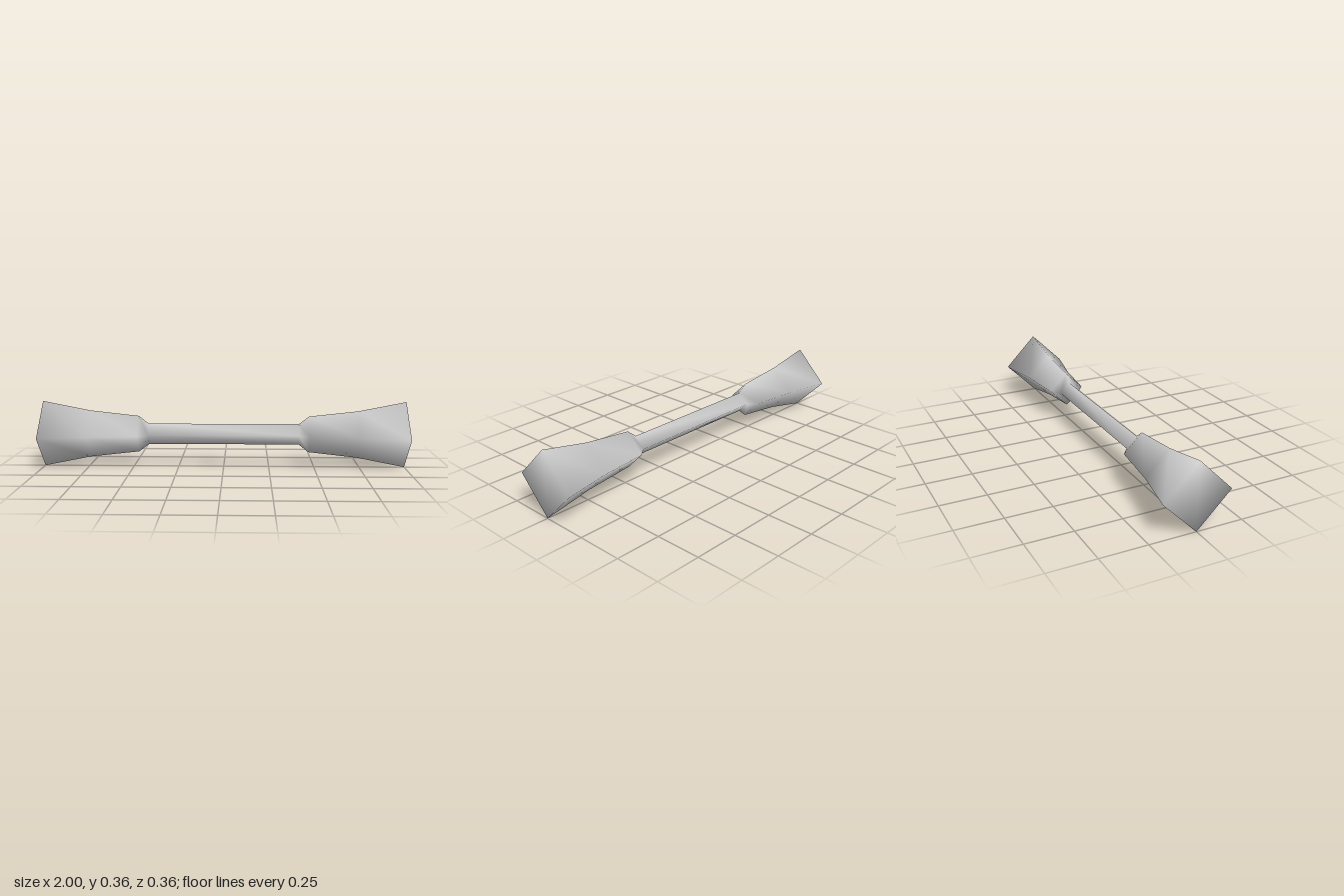
import * as THREE from 'three';

// Half profile: [distance from the middle, section radius]
const HALF = [[1, 0.182], [0.74, 0.13], [0.47, 0.1], [0.415, 0.057]];
const SIDES = 4;
const CENTRE_Y = 0.182;

// Square-section bar lofted along x, standing on its edge, with shared vertices for smooth normals
function loftBar(rings) {
  const positions = [];
  const index = [];
  for (const [x, r] of rings) {
    for (let j = 0; j < SIDES; j++) {
      const a = (j / SIDES) * Math.PI * 2;
      positions.push(x, r * Math.cos(a), r * Math.sin(a));
    }
  }
  for (let i = 0; i < rings.length - 1; i++) {
    for (let j = 0; j < SIDES; j++) {
      const k = (j + 1) % SIDES;
      const a = i * SIDES + j, b = i * SIDES + k;
      const c = b + SIDES, d = a + SIDES;
      index.push(a, b, c, a, c, d);
    }
  }
  // End caps
  const e = (rings.length - 1) * SIDES;
  index.push(0, 2, 1, 0, 3, 2);
  index.push(e, e + 1, e + 2, e, e + 2, e + 3);

  const geometry = new THREE.BufferGeometry();
  geometry.setAttribute('position', new THREE.Float32BufferAttribute(positions, 3));
  geometry.setIndex(index);
  geometry.computeVertexNormals();
  return geometry;
}

export function createModel() {
  const group = new THREE.Group();
  group.name = 'flaredBar';

  const grey = new THREE.MeshStandardMaterial({ color: 0xcccccc });
  grey.name = 'light grey';

  // Flared left end, thin shaft, flared right end
  const rings = [
    ...HALF.map(([x, r]) => [-x, r]),
    ...[...HALF].reverse(),
  ];
  const bar = new THREE.Mesh(loftBar(rings), grey);
  bar.name = 'shaftWithFlaredEnds';
  bar.position.y = CENTRE_Y;
  group.add(bar);

  return group;
}
